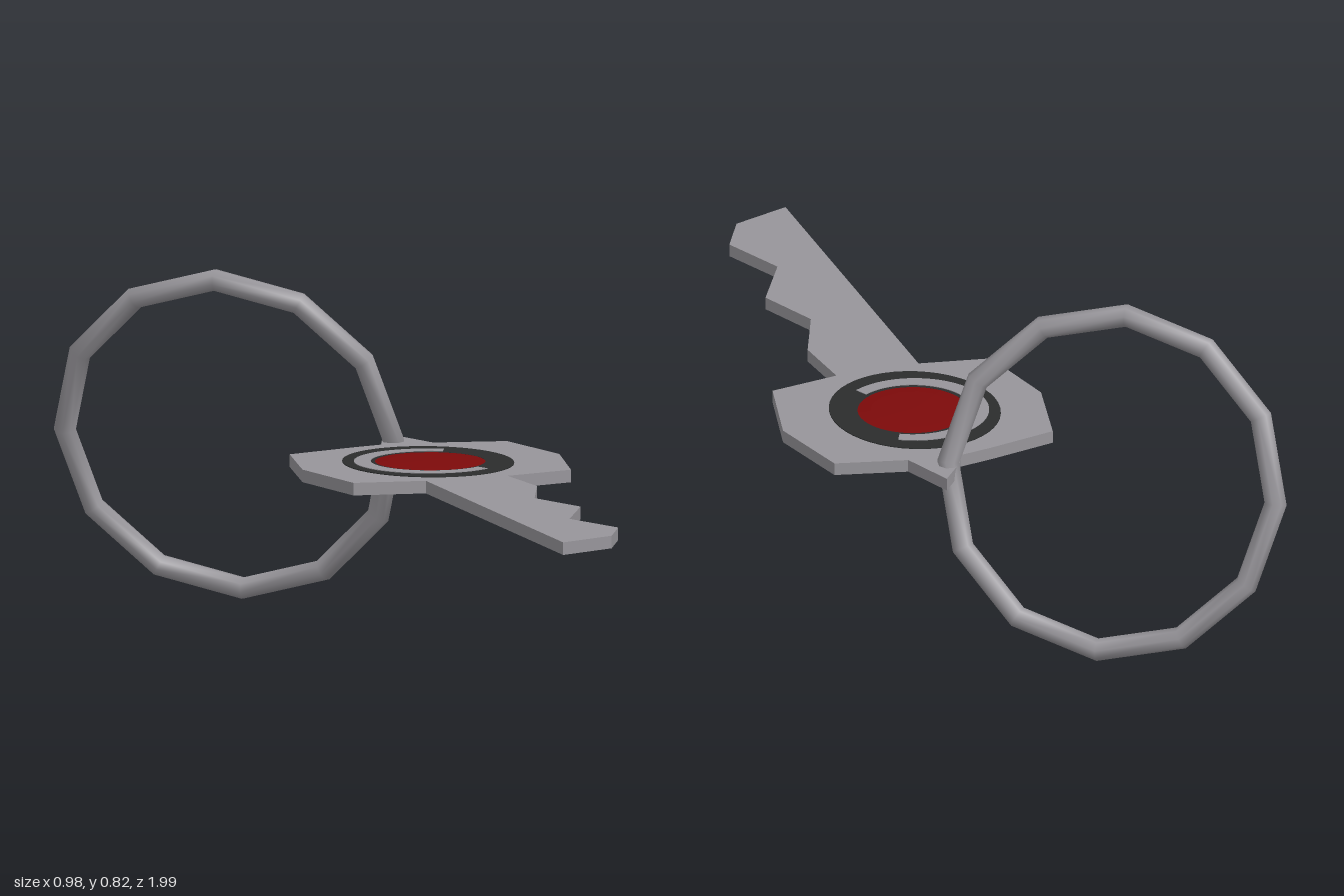
import * as THREE from 'three';

const mat = (name, color, flat = false) => {
  const m = new THREE.MeshStandardMaterial({ color });
  m.name = name;
  m.flatShading = flat;
  return m;
};

export function createModel() {
  const steel = mat('steel', 0x97959a);
  const dark = mat('dark setting', 0x2b2d2d);
  const red = mat('red gem', 0x7d0a0a, true);
  const group = new THREE.Group();
  const BOTTOM = 0.378, TOP = 0.408, CX = 0.172, CZ = -0.187;

  const add = (name, geo, material, y = 0) => {
    const mesh = new THREE.Mesh(geo, material);
    mesh.name = name;
    mesh.position.y = y;
    group.add(mesh);
    return mesh;
  };
  // Lays a shape drawn in (x, -z) flat and thickens it upward
  const plate = (shape, depth) => new THREE.ExtrudeGeometry(shape,
    { depth, bevelEnabled: false, curveSegments: 24 }).rotateX(-Math.PI / 2);

  // Key: toothed blade, eight-sided head and pointed tab in one outline (x, z)
  const outline = [
    [0.07, 0.06], [0.07, 0.995], [0.21, 0.945], [0.265, 0.84], [0.2, 0.685],
    [0.285, 0.53], [0.225, 0.38], [0.29, 0.22], [0.275, 0.06],
    [0.445, 0.03], [0.497, -0.19], [0.445, -0.405], [0.275, -0.445],
    [0.225, -0.575], [0.165, -0.5], [0.15, -0.46], [0.07, -0.445],
    [-0.1, -0.405], [-0.147, -0.19], [-0.1, 0.03],
  ];
  const keyShape = new THREE.Shape(outline.map(([x, z]) => new THREE.Vector2(x, -z)));
  add('keyBody', plate(keyShape, TOP - BOTTOM), steel, BOTTOM);

  // Dark setting around the gem, on both faces
  const setting = new THREE.Shape();
  setting.absellipse(CX - 0.005, -CZ, 0.2, 0.22, 0, Math.PI * 2);
  const hole = new THREE.Path();
  hole.absarc(CX, -CZ, 0.13, 0, Math.PI * 2, true);
  setting.holes.push(hole);
  add('settingTop', plate(setting, 0.002), dark, TOP);
  add('settingBottom', plate(setting, 0.002), dark, BOTTOM - 0.002);

  // Steel crescent inlaid in the upper setting
  const crescent = new THREE.Shape();
  const a0 = Math.PI * 0.32, a1 = Math.PI * 1.68;
  crescent.absarc(CX - 0.005, -CZ, 0.175, a0, a1, false);
  crescent.absarc(CX, -CZ, 0.14, a1, a0, true);
  add('settingInlay', plate(crescent, 0.0015), steel, TOP + 0.002);

  // Shallow faceted gem showing through both faces
  const half = (TOP - BOTTOM) / 2;
  const gem = new THREE.LatheGeometry([
    [0, -half - 0.005], [0.1, -half - 0.004], [0.143, -half - 0.001],
    [0.143, half + 0.001], [0.1, half + 0.004], [0, half + 0.005],
  ].map(([r, y]) => new THREE.Vector2(r, y)), 14);
  add('gem', gem, red, (TOP + BOTTOM) / 2).position.set(CX, (TOP + BOTTOM) / 2, CZ);

  // Tilted twelve-sided key ring passing through the tab
  const right = new THREE.Vector3(0.331, 0.005, 0.235).normalize();
  const normal = right.clone().cross(new THREE.Vector3(-0.06, 0.381, 0.09)).normalize();
  const up = normal.clone().cross(right);
  const ring = add('keyRing', new THREE.TorusGeometry(0.4, 0.027, 8, 12), steel);
  ring.quaternion.setFromRotationMatrix(new THREE.Matrix4().makeBasis(right, up, normal));
  ring.position.set(-0.134, 0.408, -0.725);

  return group;
}
